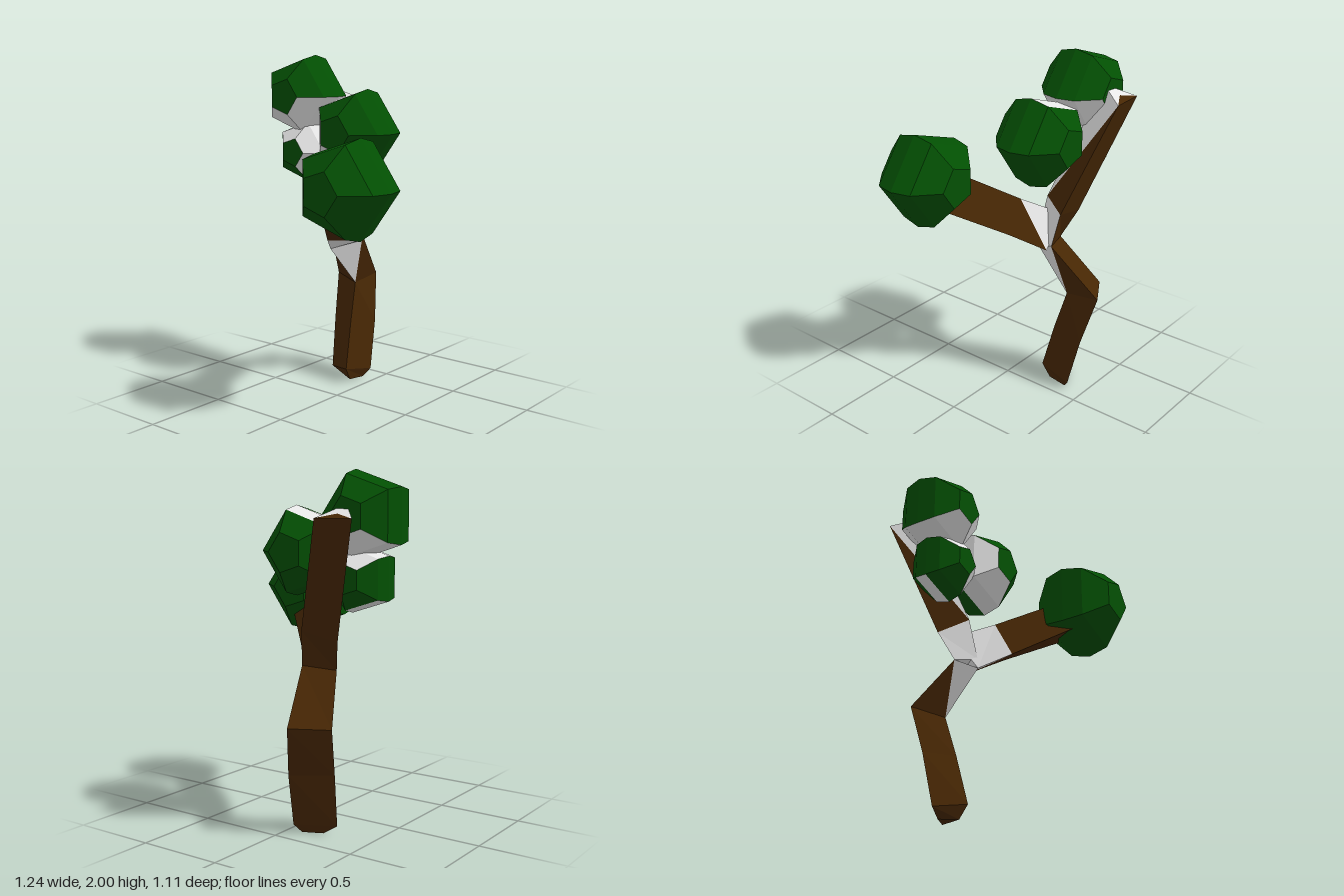
import * as THREE from 'three';

const makeMaterial = (name, color) => {
  const m = new THREE.MeshStandardMaterial({ color, flatShading: true });
  m.name = name;
  return m;
};

// Two-coloured quads: which diagonal splits them, then upper and lower colour
const SPLITS = {
  m: ['ad', 'w', 'b'], n: ['bc', 'w', 'b'], M: ['bc', 'w', 'g'],
  o: ['bc', 'b', 'w'], p: ['ad', 'b', 'w'],
};

// Skin a list of rings. codes(i, k) gives each quad g, b, w or a split code.
function skin(name, rings, codes, materials) {
  const tris = { g: [], b: [], w: [] };
  const add = (c, ...pts) => {
    if (new THREE.Triangle(...pts).getArea() > 1e-7) pts.forEach(p => tris[c].push(p.x, p.y, p.z));
  };
  for (let i = 0; i < rings.length - 1; i++) {
    const n = rings[i].length;
    for (let k = 0; k < n; k++) {
      const a = rings[i][k], b = rings[i][(k + 1) % n];
      const c = rings[i + 1][k], d = rings[i + 1][(k + 1) % n];
      const code = codes(i, k);
      const [diagonal, upper, lower] = SPLITS[code] || ['ad', code, code];
      if (diagonal === 'bc') { add(upper, b, c, d); add(lower, a, c, b); }
      else { add(upper, a, c, d); add(lower, a, d, b); }
    }
  }
  const group = new THREE.Group();
  group.name = name;
  for (const key in tris) {
    if (!tris[key].length) continue;
    const geo = new THREE.BufferGeometry();
    geo.setAttribute('position', new THREE.Float32BufferAttribute(tris[key], 3));
    geo.computeVertexNormals();
    const mesh = new THREE.Mesh(geo, materials[key]);
    mesh.name = name + { g: 'Leaves', b: 'Bark', w: 'Pale' }[key];
    group.add(mesh);
  }
  return group;
}

// Three-sided limb from triangular cross-sections, closed at both ends
function limb(name, sections, codes, materials) {
  const rings = sections.map(s => s.map(p => new THREE.Vector3(...p)));
  const cap = ring => {
    const centre = new THREE.Vector3();
    ring.forEach(p => centre.addScaledVector(p, 1 / 3));
    return [centre, centre, centre];
  };
  const all = [cap(rings[0]), ...rings, cap(rings[rings.length - 1])];
  return skin(name, all, (i, k) => codes[i][k], materials);
}

// Five-sided leaf ball with flat caps facing front and back; one code string per side
function leafBall(name, [x, y, z], radius, codes, materials) {
  const profile = [[0, 0.82], [0.43, 0.82], [0.9, 0.41], [1, 0], [0.9, -0.41], [0.43, -0.82], [0, -0.82]];
  const rings = profile.map(([r, h]) => Array.from({ length: 5 }, (_, k) => {
    const a = k * Math.PI * 2 / 5;
    return new THREE.Vector3(r * Math.cos(a), r * Math.sin(a), h).multiplyScalar(radius);
  }));
  const ball = skin(name, rings, (i, k) => codes[k][i], materials);
  ball.position.set(x, y, z);
  return ball;
}

export function createModel() {
  const materials = {
    g: makeMaterial('leaf green', 0x035003),
    b: makeMaterial('bark brown', 0x472704),
    w: makeMaterial('pale white', 0xe7e7e7),
  };
  const tree = new THREE.Group();
  tree.name = 'tree';

  // Fork corners shared by the trunk and both limbs
  const forkFront = [-0.14, 0.86, -0.11], forkLeft = [-0.22, 0.91, -0.22], forkBack = [-0.035, 0.93, -0.29];

  // Trunk with a chamfered foot and a knee: corners are front, left, back
  tree.add(limb('trunk', [
    [[-0.1, 0.01, -0.25], [-0.2, 0, -0.32], [-0.09, 0, -0.37]],
    [[-0.09, 0.09, -0.2], [-0.28, 0.05, -0.3], [-0.06, 0.05, -0.41]],
    [[-0.11, 0.37, -0.27], [-0.305, 0.36, -0.36], [-0.08, 0.35, -0.48]],
    [[-0.13, 0.61, -0.34], [-0.335, 0.63, -0.43], [-0.13, 0.635, -0.555]],
    [forkFront, forkLeft, forkBack],
  ], ['bbb', 'bbb', 'bbb', 'bbb', 'mbn', 'www'], materials));

  // Tall limb leaning back: corners are right, front, left
  tree.add(limb('tallLimb', [
    [forkBack, [-0.13, 0.92, -0.12], forkLeft],
    [[-0.06, 1.13, -0.33], [-0.165, 1.17, -0.16], [-0.28, 1.08, -0.3]],
    [[-0.29, 1.75, -0.53], [-0.385, 1.82, -0.37], [-0.51, 1.75, -0.51]],
  ], ['www', 'wwb', 'nmb', 'wwb'], materials));

  // Side limb reaching forward: corners are low, top, outer
  tree.add(limb('sideLimb', [
    [forkFront, [-0.2, 1.07, -0.25], [-0.03, 0.9, -0.26]],
    [[-0.03, 0.95, 0.05], [-0.03, 1.17, -0.07], [0.11, 1, -0.1]],
    [[0.2, 1.14, 0.37], [0.22, 1.34, 0.2], [0.4, 1.18, 0.2]],
  ], ['www', 'wop', 'bbb', 'bbb'], materials));

  // Leaf balls
  const green = 'gggggg', pale = 'gwwwwg', frontPale = 'gwwggg';
  tree.add(leafBall('frontLeaves', [0.328, 1.315, 0.317], 0.289, Array(5).fill(green), materials));
  tree.add(leafBall('topLeaves', [-0.414, 1.76, -0.21], 0.255, [green, green, green, pale, pale], materials));
  tree.add(leafBall('middleLeaves', [-0.022, 1.56, -0.207], 0.265, [green, 'ggMwgg', frontPale, frontPale, green], materials));
  tree.add(leafBall('smallLeaves', [-0.375, 1.43, -0.2], 0.204, [pale, pale, green, 'gggwgg', 'gwwwgg'], materials));
  return tree;
}
